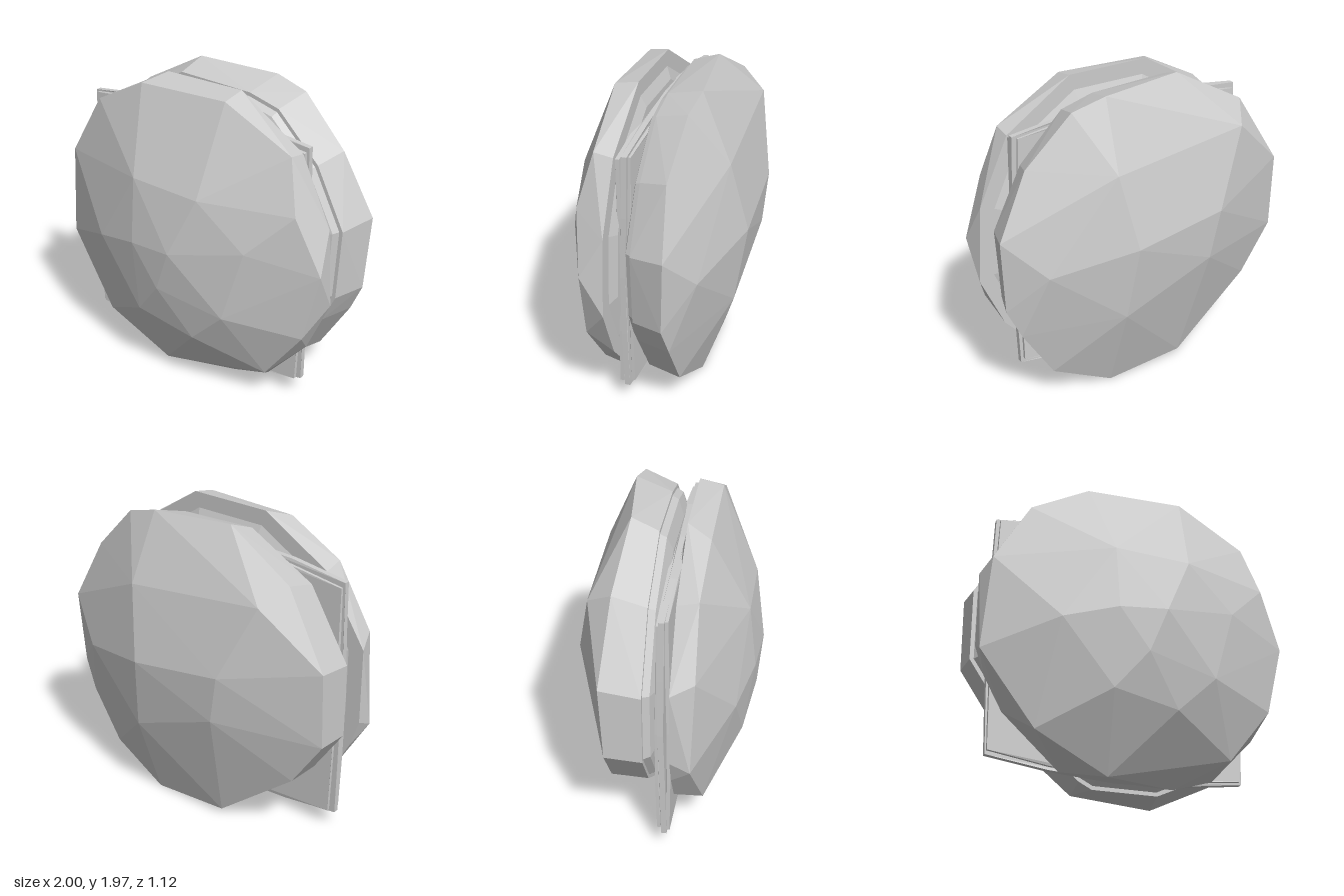
import * as THREE from 'three';
import { ConvexGeometry } from 'three/addons/geometries/ConvexGeometry.js';

const CY = 0.99; // height of the centre axis
const material = new THREE.MeshStandardMaterial({ color: 0xcccccc, flatShading: true });

function addHull(group, name, points) {
  const mesh = new THREE.Mesh(
    new ConvexGeometry(points.map(p => new THREE.Vector3(...p))), material);
  mesh.name = name;
  group.add(mesh);
}

// Copy of an outline, scaled about the centre axis, shifted and laid at depth z
const ringAt = (outline, scale, z, dx = 0, dy = 0) =>
  outline.map(([x, y]) => [x * scale + dx, CY + (y - CY) * scale + dy, z]);

// Uneven rims and dome points, [x, y, z]
const frontRim = [
  [-0.35, 1.92, 0.26], [0.28, 1.94, 0.26], [0.73, 1.7, 0.23], [0.82, 1.37, 0.31],
  [0.97, 1.0, 0.25], [0.86, 0.55, 0.26], [0.59, 0.2, 0.25],
  [-0.2, 0.01, 0.24], [-0.66, 0.24, 0.27], [-1.0, 0.72, 0.23], [-0.95, 1.33, 0.25],
  [-0.72, 1.73, 0.24],
];
const frontDome = [
  [0.07, 1.0, 0.56], [-0.23, 0.98, 0.535], [-0.04, 0.72, 0.535], [0.55, 1.1, 0.44],
  [0.41, 0.63, 0.47], [0.17, 0.4, 0.45], [-0.24, 0.48, 0.47], [-0.56, 0.9, 0.45],
  [-0.24, 1.4, 0.49], [0.24, 1.38, 0.49],
];
// Outline of the front shell where it meets the filling
const frontInner = [
  [-0.26, 1.97], [0.29, 1.97], [0.73, 1.68], [0.93, 1.25], [0.96, 0.75], [0.8, 0.4],
  [0.52, 0.1], [0.26, 0.02], [-0.2, 0.03], [-0.46, 0.05], [-0.82, 0.38], [-0.94, 0.6],
  [-1.0, 0.78], [-1.0, 1.27], [-0.72, 1.7],
];
const backRim = [
  [-0.26, 1.98, -0.22], [0.28, 1.96, -0.28], [0.5, 1.9, -0.26], [0.8, 1.6, -0.23],
  [1.0, 1.2, -0.27], [0.97, 0.72, -0.25], [0.88, 0.53, -0.27], [0.67, 0.2, -0.27],
  [0.27, 0.01, -0.3], [-0.26, 0.05, -0.3], [-0.79, 0.47, -0.28], [-1.0, 0.78, -0.28],
  [-1.0, 1.27, -0.3], [-0.72, 1.73, -0.26],
];
const backDome = [
  [0.22, 1.06, -0.56], [-0.4, 1.14, -0.53], [-0.34, 0.82, -0.51], [0.75, 0.95, -0.4],
  [0.31, 1.53, -0.465], [-0.62, 1.62, -0.42], [0.27, 0.58, -0.495],
];
// Outline of the back shell where it meets the filling
const backInner = [
  ...ringAt(backRim, 0.96, -0.05, -0.035, -0.025), [-0.2, 0.02, -0.05],
];

// Thin square sheet with bulged sides and sharp corners, gently creased in depth
function fillingSheet(scale, z, depth, turn) {
  const corners = [[-0.9, 1.7], [-0.9, 0.12], [0.74, 0.12], [0.74, 1.7]];
  const cx = -0.08, cy = 0.92, outline = [];
  corners.forEach(([x0, y0], i) => {
    const [x1, y1] = corners[(i + 1) % 4];
    for (let s = 0; s < 4; s++) {
      // upright sides bulge less than the top and bottom
      const t = s / 4, bulge = 1 + (i % 2 ? 0.09 : 0.02) * Math.sin(Math.PI * t);
      const x = x0 + (x1 - x0) * t, y = y0 + (y1 - y0) * t;
      outline.push(new THREE.Vector2((x - cx) * bulge * scale, (y - cy) * bulge * scale));
    }
  });
  const geometry = new THREE.ExtrudeGeometry(new THREE.Shape(outline), { depth, bevelEnabled: false });
  const p = geometry.attributes.position;
  for (let i = 0; i < p.count; i++) {
    p.setZ(i, p.getZ(i) + 0.008 * Math.sin(3 * Math.atan2(p.getY(i), p.getX(i)) + z * 60));
  }
  geometry.rotateZ(turn);
  geometry.translate(cx, cy, z);
  geometry.computeVertexNormals();
  return geometry;
}

export function createModel() {
  const group = new THREE.Group();

  // Two faceted domed shells
  addHull(group, 'frontShell', [...frontRim, ...frontDome, ...ringAt(frontInner, 1, 0.11)]);
  addHull(group, 'backShell', [...backRim, ...backDome, ...backInner]);

  // Sloping lips between the shells and the filling
  addHull(group, 'frontLip', [...ringAt(frontInner, 0.91, 0.115), ...ringAt(frontInner, 0.82, 0.08)]);
  addHull(group, 'backLip', [...ringAt(backInner, 0.98, -0.06), ...ringAt(backInner, 0.95, -0.01),
    ...ringAt(backInner, 0.84, 0.025)]);

  // Creased filling, stacked in thin sheets
  [[0.97, 0.012, 0.02, 0.012], [1, 0.034, 0.034, 0], [0.98, 0.072, 0.024, -0.01]].forEach((args, i) => {
    const sheet = new THREE.Mesh(fillingSheet(...args), material);
    sheet.name = 'fillingSheet' + (i + 1);
    group.add(sheet);
  });
  return group;
}
